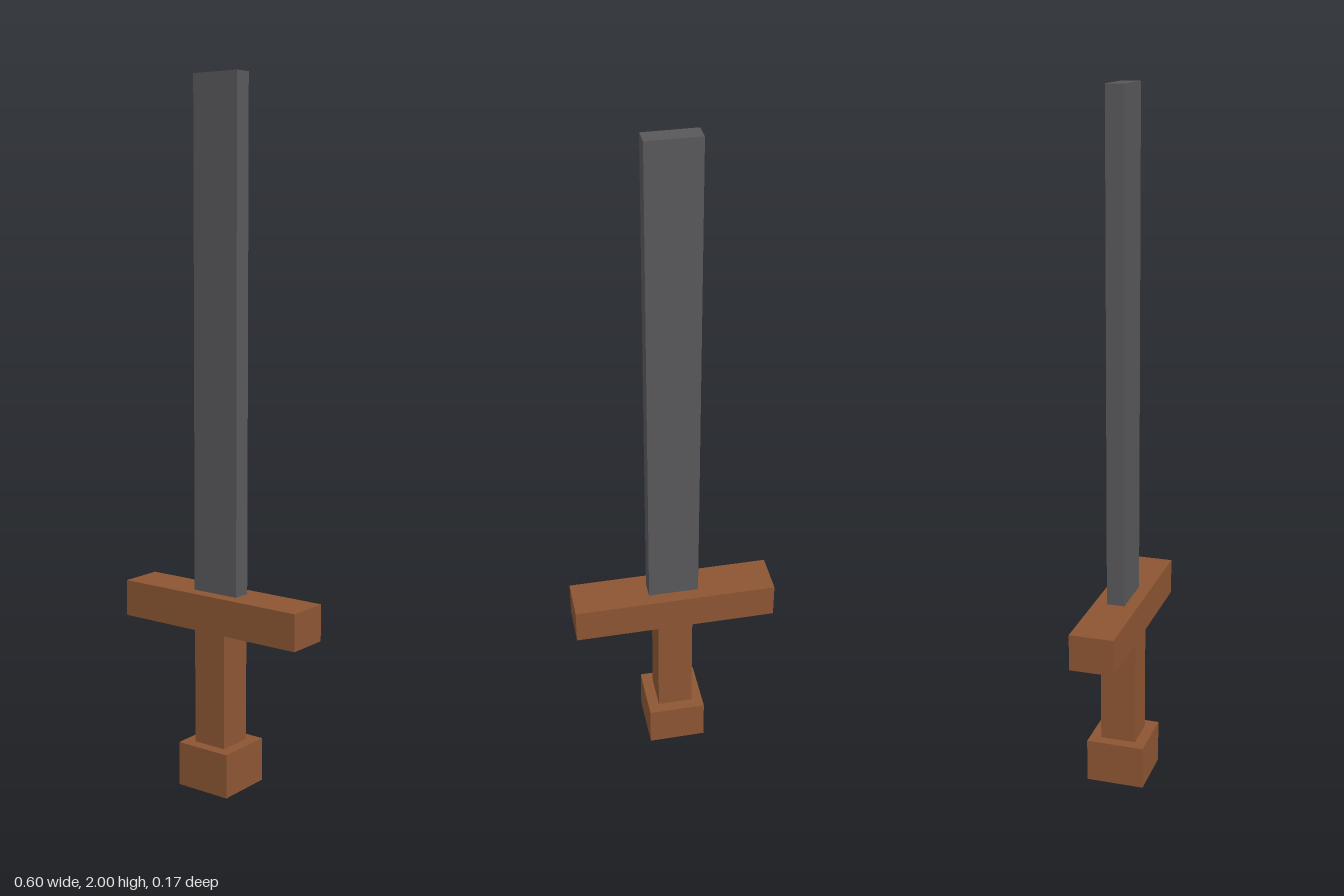
import * as THREE from 'three';

export function createModel() {
  const group = new THREE.Group();
  group.name = 'sword';

  const wood = new THREE.MeshStandardMaterial({ color: 0x8c5533 });
  wood.name = 'brown wood';
  const steel = new THREE.MeshStandardMaterial({ color: 0x58575a });
  steel.name = 'dark steel';

  // Adds a box centred on the sword's axis, spanning bottom to top
  function addBlock(name, width, depth, bottom, top, material) {
    const mesh = new THREE.Mesh(new THREE.BoxGeometry(width, top - bottom, depth), material);
    mesh.name = name;
    mesh.position.y = (bottom + top) / 2;
    group.add(mesh);
  }

  addBlock('pommel', 0.17, 0.17, 0, 0.127, wood);
  addBlock('grip', 0.104, 0.104, 0.127, 0.462, wood);
  addBlock('crossguard', 0.597, 0.127, 0.462, 0.567, wood);
  addBlock('blade', 0.148, 0.052, 0.567, 2, steel);

  return group;
}
